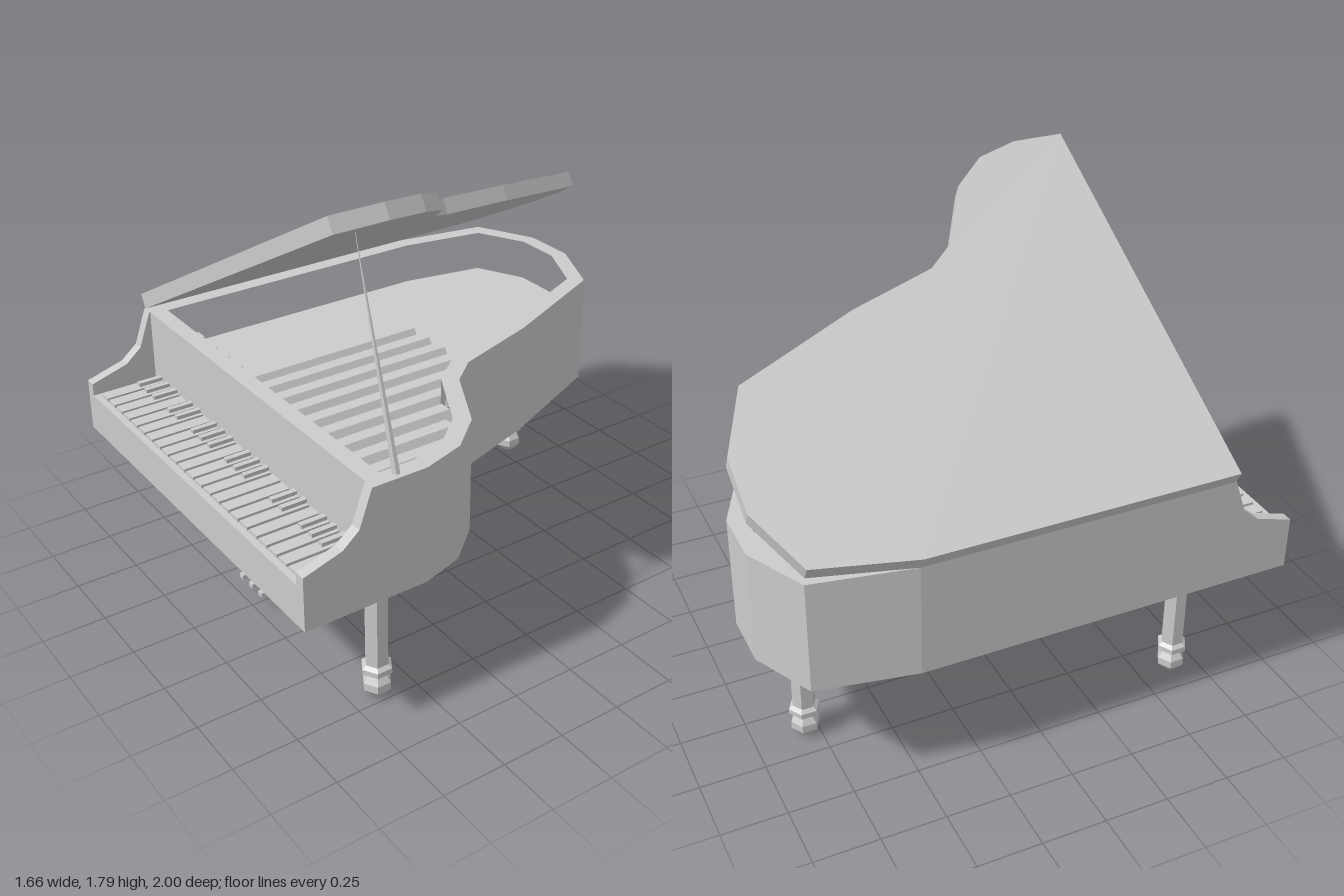
import * as THREE from 'three';

const material = new THREE.MeshStandardMaterial({ color: 0xcccccc, flatShading: true });

// Right-hand curve of the case, from the front to the tail, as [x, z]
const bentSide = [[0.83, 0.52], [0.78, 0.35], [0.66, 0.21], [0.40, 0.07], [0.31, -0.04],
  [0.20, -0.39], [-0.01, -0.88], [-0.27, -1]];
const tail = [[-0.49, -1], [-0.73, -0.88], [-0.80, -0.50]];
const caseOutline = (front) => [[-0.80, front], [0.83, front], ...bentSide, ...tail];

function add(parent, name, geometry, x = 0, y = 0, z = 0) {
  const mesh = new THREE.Mesh(geometry, material);
  mesh.name = name;
  mesh.position.set(x, y, z);
  parent.add(mesh);
  return mesh;
}

const box = (parent, name, [x0, x1], [y0, y1], [z0, z1]) => add(parent, name,
  new THREE.BoxGeometry(x1 - x0, y1 - y0, z1 - z0), (x0 + x1) / 2, (y0 + y1) / 2, (z0 + z1) / 2);

const toVectors = (points) => points.map(([x, y]) => new THREE.Vector2(x, y));

// Horizontal slab with an [x, z] outline between two heights
function slab(points, bottom, top, hole) {
  const shape = new THREE.Shape(toVectors(points));
  if (hole) shape.holes.push(new THREE.Path(toVectors(hole)));
  return new THREE.ExtrudeGeometry(shape, { depth: top - bottom, bevelEnabled: false })
    .rotateX(Math.PI / 2).translate(0, top, 0);
}

// Mitred inward offset of a closed outline
function inset(points, distance) {
  const sign = THREE.ShapeUtils.isClockWise(toVectors(points)) ? -1 : 1;
  const normal = ([ax, ay], [bx, by]) => {
    const length = Math.hypot(bx - ax, by - ay);
    return [-sign * (by - ay) / length, sign * (bx - ax) / length];
  };
  return points.map((p, i) => {
    const m = normal(points[(i + points.length - 1) % points.length], p);
    const n = normal(p, points[(i + 1) % points.length]);
    const k = distance / (1 + m[0] * n[0] + m[1] * n[1]);
    return [p[0] + (m[0] + n[0]) * k, p[1] + (m[1] + n[1]) * k];
  });
}

// Depth of the bent side at a given x
function bentSideZ(x) {
  for (let i = 1; i < bentSide.length; i++) {
    const [x0, z0] = bentSide[i - 1], [x1, z1] = bentSide[i];
    if (x <= x0 && x >= x1) return z0 + (z1 - z0) * (x0 - x) / (x0 - x1);
  }
  return bentSide[0][1];
}

function buildCase(model) {
  const body = new THREE.Group();
  body.name = 'case';
  const outer = caseOutline(0.73), inner = inset(outer, 0.065);
  add(body, 'bottom', slab(caseOutline(1), 0.50, 0.66));
  add(body, 'rim', slab(outer, 0.66, 0.95, inner));
  add(body, 'soundboard', slab(inner, 0.66, 0.78));

  // Curved cheeks at each end of the keyboard
  const cheek = new THREE.Shape(toVectors([[-0.73, 0.66], [-1, 0.66], [-1, 0.71],
    [-0.85, 0.755], [-0.785, 0.81], [-0.735, 0.95], [-0.73, 0.95]]));
  for (const x of [-0.80, 0.787]) {
    add(body, 'cheek', new THREE.ExtrudeGeometry(cheek, { depth: 0.043, bevelEnabled: false })
      .rotateY(Math.PI / 2), x);
  }

  // Six-sided bars side by side over the soundboard
  for (let i = 0; i < 14; i++) {
    const x = 0.69 - i * 0.104;
    const back = Math.max(-0.17, bentSideZ(x + 0.03) + 0.04), length = 0.665 - back;
    add(body, 'stringBar', new THREE.CylinderGeometry(0.05, 0.05, length, 6)
      .rotateY(Math.PI / 6).rotateX(Math.PI / 2), x, 0.80, back + length / 2);
  }
  model.add(body);
}

function buildKeyboard(model) {
  const keyboard = new THREE.Group();
  keyboard.name = 'keyboard';
  const raised = new Set([0, 1, 2, 4, 5, 7, 8, 9, 11, 12, 13, 16, 17, 19, 20, 21]);
  for (let i = 0; i < 23; i++) {
    const x = -0.705 + i * 0.065;
    box(keyboard, 'longKey', [x - 0.026, x + 0.026], [0.655, 0.673], [0.73, 0.975]);
    if (raised.has(i)) box(keyboard, 'shortKey', [x - 0.011, x + 0.011], [0.67, 0.688], [0.73, 0.83]);
  }
  model.add(keyboard);
}

function buildLid(model) {
  // Lid shares the case outline and swings on the left edge
  const lid = add(model, 'lid', slab(caseOutline(0.73), 0, 0.06).translate(0.80, 0, 0), -0.80, 0.95, 0);
  lid.rotation.z = 0.507;

  // Prop stick tapering to a point under the lid
  const foot = new THREE.Vector3(0.80, 0.94, 0.62), tip = new THREE.Vector3(0.58, 1.71, 0.62);
  const along = tip.clone().sub(foot);
  const prop = add(model, 'propStick', new THREE.CylinderGeometry(0.001, 0.015, along.length(), 6));
  prop.position.copy(foot).add(tip).multiplyScalar(0.5);
  prop.quaternion.setFromUnitVectors(new THREE.Vector3(0, 1, 0), along.normalize());
}

function buildLegs(model) {
  // Six-sided leg with a collar and a ball foot
  const profile = toVectors([[0, 0], [0.03, 0.004], [0.055, 0.032], [0.055, 0.062], [0.036, 0.09],
    [0.036, 0.10], [0.06, 0.104], [0.06, 0.125], [0.045, 0.138], [0.045, 0.505]]);
  for (const [x, z] of [[-0.63, 0.64], [0.70, 0.64], [-0.375, -0.80]]) {
    add(model, 'leg', new THREE.LatheGeometry(profile, 6), x, 0, z);
  }
}

function buildPedals(model) {
  const pedals = new THREE.Group();
  pedals.name = 'pedalAssembly';
  for (const x of [-0.078, 0.028]) {
    box(pedals, 'pedalPost', [x - 0.027, x + 0.027], [0.12, 0.505], [0.595, 0.65]);
  }
  box(pedals, 'pedalBox', [-0.14, 0.09], [0.055, 0.125], [0.565, 0.68]);
  for (const x of [-0.095, -0.023, 0.048]) {
    box(pedals, 'pedal', [x - 0.013, x + 0.013], [0.064, 0.084], [0.67, 0.74]);
  }
  model.add(pedals);
}

export function createModel() {
  const model = new THREE.Group();
  model.name = 'grandPiano';
  buildCase(model);
  buildKeyboard(model);
  buildLid(model);
  buildLegs(model);
  buildPedals(model);
  return model;
}
